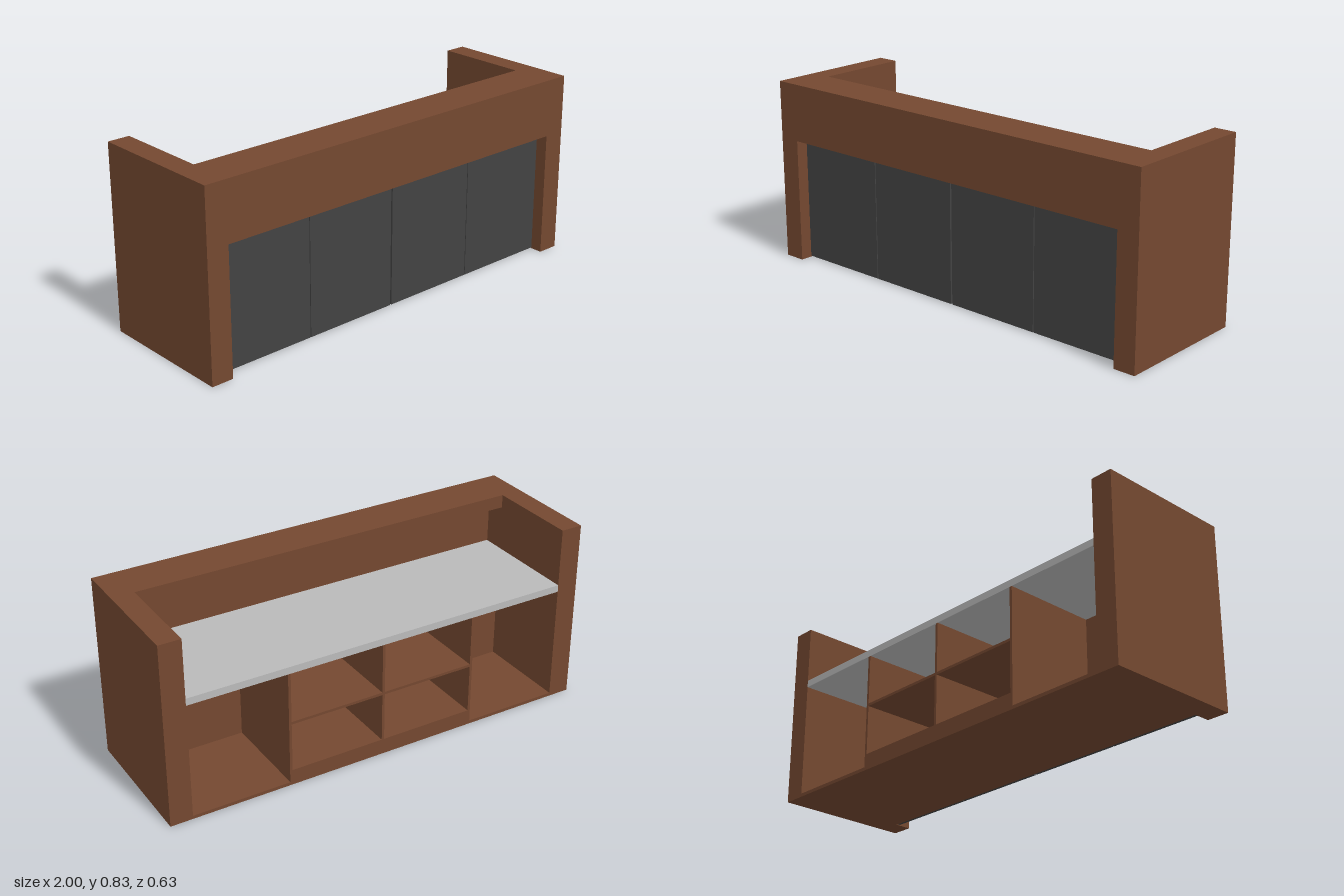
import * as THREE from 'three';

const wood = new THREE.MeshStandardMaterial({ name: 'brown wood', color: 0x744830 });
const grey = new THREE.MeshStandardMaterial({ name: 'light grey worktop', color: 0xbababa });
const dark = new THREE.MeshStandardMaterial({ name: 'charcoal panel', color: 0x434343 });

// Outer size and key depths
const H = 0.833, BACK = -0.316, FRONT = 0.316;
const INNER = 0.9;        // inside face of the side walls
const WALL = 0.118;       // rear face of the inner back wall
const TABLE_BOTTOM = 0.537, TABLE_TOP = 0.569;

// Box given by its minimum and maximum on each axis
function slab(name, material, [x0, x1], [y0, y1], [z0, z1]) {
  const mesh = new THREE.Mesh(new THREE.BoxGeometry(x1 - x0, y1 - y0, z1 - z0), material);
  mesh.position.set((x0 + x1) / 2, (y0 + y1) / 2, (z0 + z1) / 2);
  mesh.name = name;
  return mesh;
}

export function createModel() {
  const desk = new THREE.Group();
  desk.name = 'receptionDesk';
  const add = (...args) => desk.add(slab(...args));

  // Side walls
  add('leftSideWall', wood, [INNER, 1], [0, H], [BACK, FRONT]);
  add('rightSideWall', wood, [-1, -INNER], [0, H], [BACK, FRONT]);

  // Raised front with the ledge overhanging the worktop
  add('frontParapet', wood, [-INNER, INNER], [0.57, H], [0.211, FRONT]);
  add('counterLedge', wood, [-INNER, INNER], [0.773, H], [0.115, 0.211]);

  // Worktop
  add('worktop', grey, [-INNER, INNER], [TABLE_BOTTOM, TABLE_TOP], [BACK, 0.236]);

  // Carcass
  add('floor', wood, [-INNER, INNER], [0, 0.015], [BACK, 0.24]);
  add('innerBackWall', wood, [-INNER, INNER], [0.015, TABLE_BOTTOM], [WALL, 0.236]);

  // Shelving in the middle: uprights, plinth and shelf
  for (const x of [-0.447, 0, 0.447]) {
    add('divider', wood, [x - 0.006, x + 0.006], [0.015, TABLE_BOTTOM], [BACK, WALL]);
  }
  for (const x of [-0.441, 0.006]) {
    add('plinth', wood, [x, x + 0.435], [0.015, 0.072], [BACK, WALL]);
    add('shelf', wood, [x, x + 0.435], [0.296, 0.308], [BACK, WALL]);
  }

  // Four recessed front panels with narrow gaps
  const panels = [[-0.9, -0.457], [-0.453, -0.009], [-0.001, 0.447], [0.451, 0.9]];
  for (const span of panels) add('frontPanel', dark, span, [0.004, 0.57], [0.24, 0.26]);

  return desk;
}
